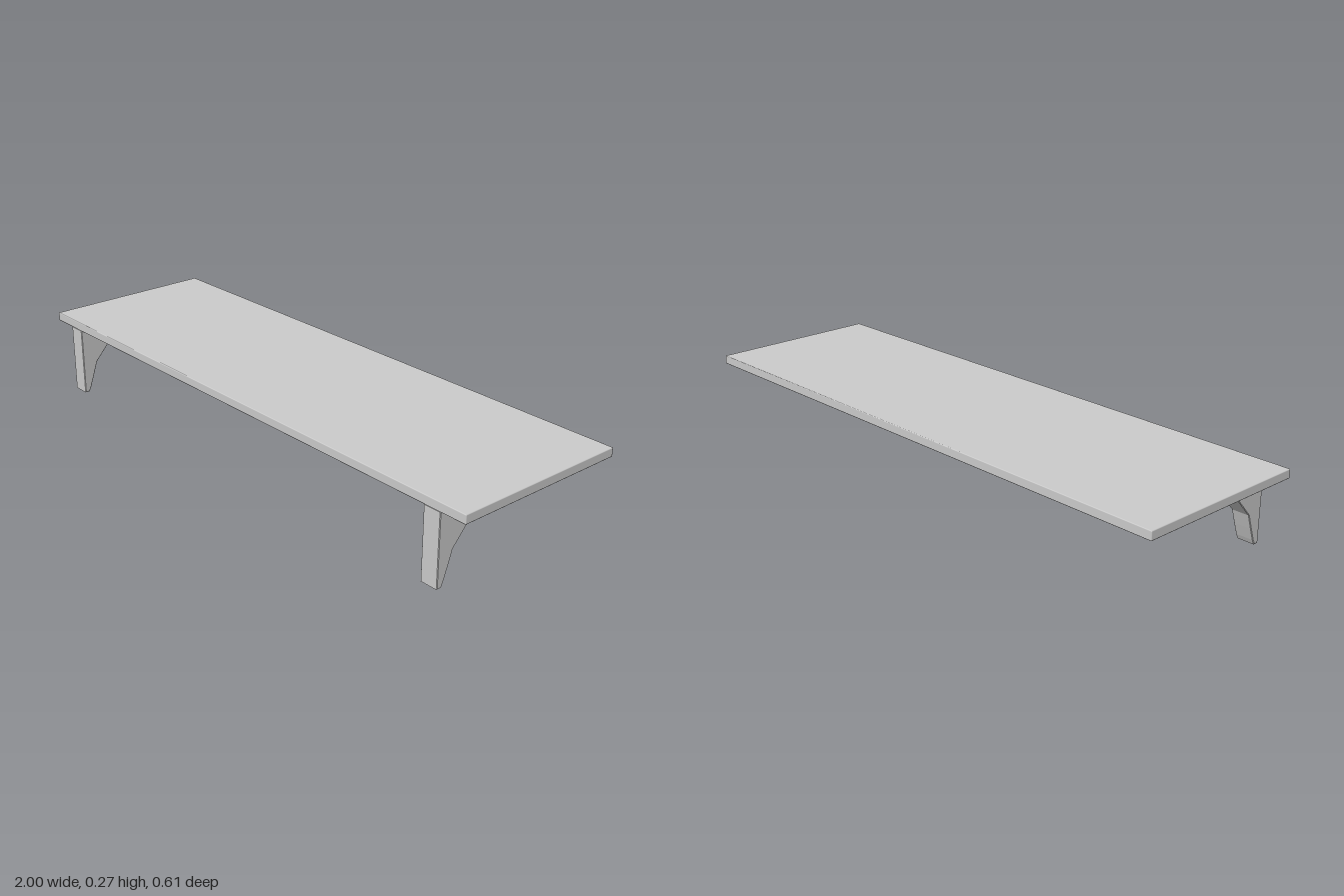
import * as THREE from 'three';
import { RoundedBoxGeometry } from 'three/addons/geometries/RoundedBoxGeometry.js';

const BOARD = { width: 2, thickness: 0.03, depth: 0.61, bottom: 0.237 };
const BRACKET = { width: 0.062, x: 0.88, bevel: 0.002 };

// Side outline of a bracket as (z, y): straight front and top, faceted curve inside
const OUTLINE = [
  [0.305, 0], [0.288, 0], [0.28, 0.017], [0.265, 0.059], [0.249, 0.107],
  [0.178, 0.185], [0.095, 0.216], [-0.01, 0.222], [-0.177, 0.222],
  [-0.177, BOARD.bottom], [0.305, BOARD.bottom],
];

function bracketGeometry() {
  const shape = new THREE.Shape(OUTLINE.map(([z, y]) => new THREE.Vector2(z, y)));
  const { width, bevel } = BRACKET;
  const geometry = new THREE.ExtrudeGeometry(shape, {
    depth: width - 2 * bevel,
    bevelEnabled: true,
    bevelSegments: 1,
    bevelSize: bevel,
    bevelThickness: bevel,
    bevelOffset: -bevel,
  });
  // Centre the thickness, then turn the outline into the z-y plane
  geometry.translate(0, 0, bevel - width / 2);
  geometry.rotateY(-Math.PI / 2);
  return geometry;
}

export function createModel() {
  const group = new THREE.Group();
  group.name = 'shelf';
  const smooth = new THREE.MeshStandardMaterial({ color: 0xcccccc });
  const flat = new THREE.MeshStandardMaterial({ color: 0xcccccc, flatShading: true });

  // Board with slightly softened edges
  const board = new THREE.Mesh(
    new RoundedBoxGeometry(BOARD.width, BOARD.thickness, BOARD.depth, 1, 0.003), smooth);
  board.name = 'board';
  board.position.y = BOARD.bottom + BOARD.thickness / 2;
  group.add(board);

  // Pair of mirrored brackets
  const geometry = bracketGeometry();
  for (const [name, side] of [['leftBracket', 1], ['rightBracket', -1]]) {
    const bracket = new THREE.Mesh(geometry, flat);
    bracket.name = name;
    bracket.position.x = side * BRACKET.x;
    group.add(bracket);
  }
  return group;
}
